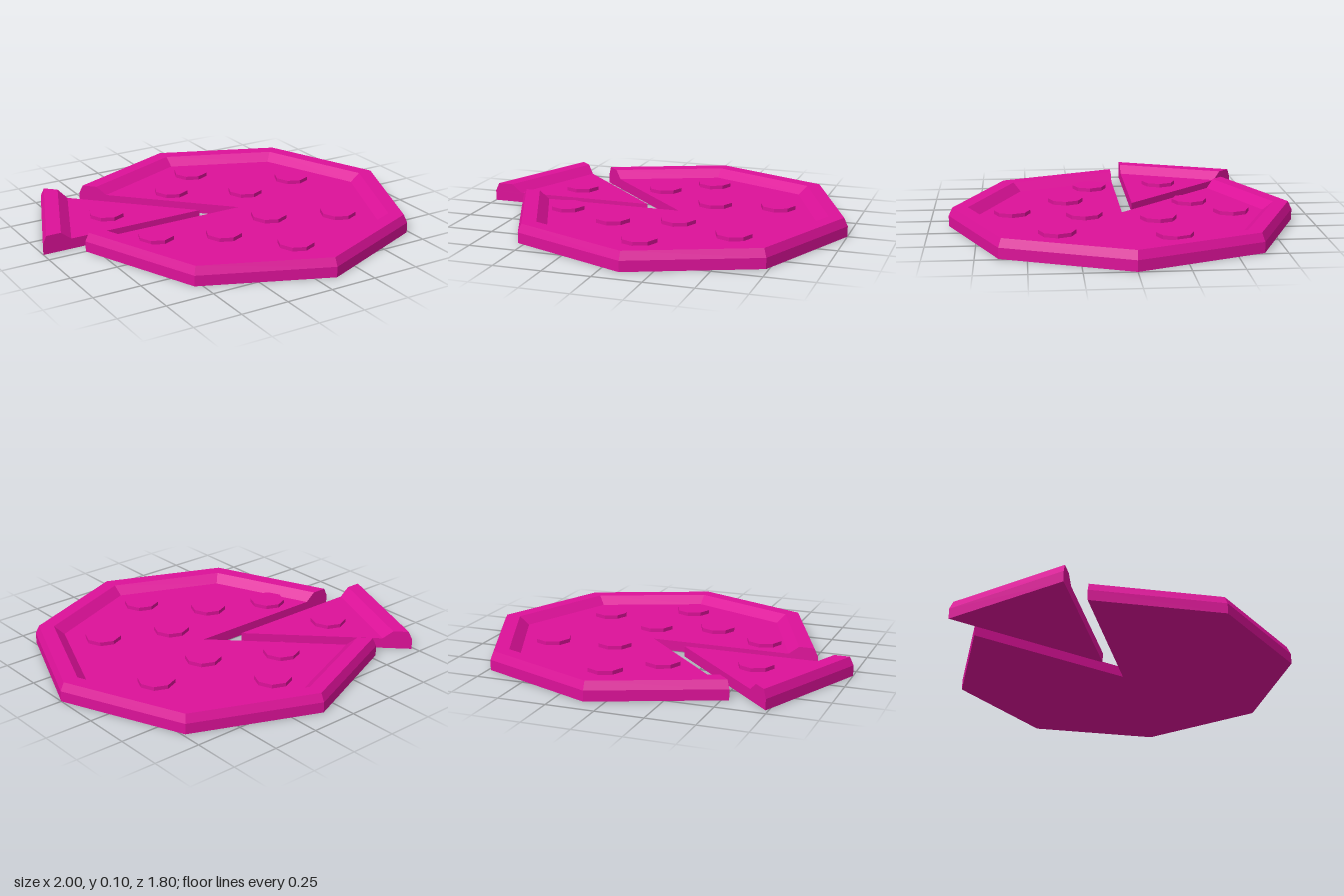
import * as THREE from 'three';
import { mergeGeometries } from 'three/addons/utils/BufferGeometryUtils.js';

const EIGHTH = Math.PI / 4;
const BASE_TOP = 0.055;

// Half cross-section (radius, height): flat base, bevelled raised crust
const PROFILE = [
  [0, 0], [0.9, 0], [0.9, 0.055], [0.88, 0.098],
  [0.8, 0.098], [0.745, BASE_TOP], [0, BASE_TOP],
].map(([r, y]) => new THREE.Vector2(r, y));

// Flat face closing the wedge at one cut angle
function cutFace(angle, flip) {
  const face = new THREE.ShapeGeometry(new THREE.Shape(PROFILE));
  face.rotateY(angle - Math.PI / 2);
  if (flip) face.setIndex(Array.from(face.index.array).reverse());
  return face;
}

// Octagonal wedge covering a number of eighths
function wedge(start, eighths) {
  const length = eighths * EIGHTH;
  const geometry = mergeGeometries([
    new THREE.LatheGeometry(PROFILE, eighths, start, length),
    cutFace(start, false),
    cutFace(start + length, true),
  ]).toNonIndexed();
  geometry.computeVertexNormals();
  return geometry;
}

export function createModel() {
  const model = new THREE.Group();
  model.name = 'pizza';
  const material = new THREE.MeshStandardMaterial({ color: 0xdd1199, flatShading: true });

  function add(name, geometry, x, y, z) {
    const mesh = new THREE.Mesh(geometry, material);
    mesh.name = name;
    mesh.position.set(x, y, z);
    model.add(mesh);
  }

  // Seven eighths of the pizza, and the slice pulled out of it
  add('mainPizza', wedge(6 * EIGHTH, 7), 0.1, 0, 0);
  add('slice', wedge(5 * EIGHTH, 1), -0.1, 0, -0.07);

  // Octagonal topping discs (x, z); the last lies on the slice
  const disc = new THREE.CylinderGeometry(0.094, 0.094, 0.03, 8);
  const spots = [
    [0.13, -0.57], [-0.1, -0.38], [0.25, -0.175], [0.585, -0.22], [0.163, 0.2],
    [-0.163, 0.286], [-0.473, 0.14], [0.5, 0.35], [0.083, 0.572], [-0.553, -0.262],
  ];
  spots.forEach(([x, z], i) => add(`toppingDisc${i + 1}`, disc, x, BASE_TOP + 0.005, z));

  return model;
}
